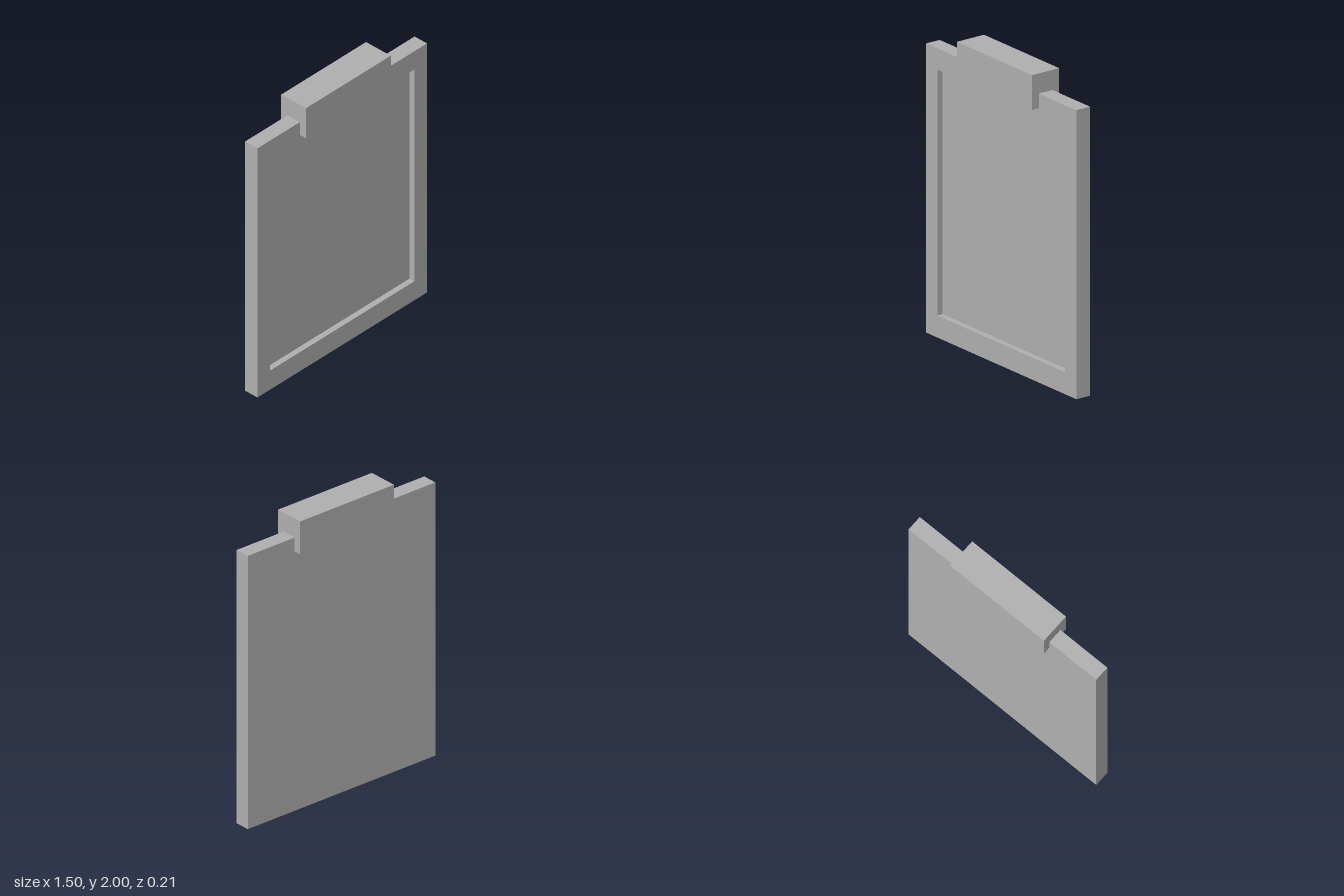
import * as THREE from 'three';

export function createModel() {
  const model = new THREE.Group();
  model.name = 'clipboard';
  const gray = new THREE.MeshStandardMaterial({ color: 0xb0b0b0 });
  gray.name = 'plain gray';

  const add = (name, geometry, x, y, z) => {
    const mesh = new THREE.Mesh(geometry, gray);
    mesh.name = name;
    mesh.position.set(x, y, z);
    model.add(mesh);
  };

  const width = 1.5, height = 1.87, thickness = 0.104, recess = 0.04;

  // Solid backing of the board
  const backing = thickness - recess;
  add('boardBacking', new THREE.BoxGeometry(width, height, backing), 0, height / 2, -recess / 2);

  // Raised border around the recessed writing area
  const border = new THREE.Shape([
    new THREE.Vector2(-width / 2, 0),
    new THREE.Vector2(width / 2, 0),
    new THREE.Vector2(width / 2, height),
    new THREE.Vector2(-width / 2, height),
  ]);
  border.holes.push(new THREE.Path([
    new THREE.Vector2(-0.638, 0.143),
    new THREE.Vector2(-0.638, 1.732),
    new THREE.Vector2(0.638, 1.732),
    new THREE.Vector2(0.638, 0.143),
  ]));
  add('boardBorder', new THREE.ExtrudeGeometry(border, { depth: recess, bevelEnabled: false }),
    0, 0, thickness / 2 - recess);

  // Block clip straddling the top edge
  const clipBottom = 1.775;
  add('clip', new THREE.BoxGeometry(0.75, 2 - clipBottom, 0.207), 0, (2 + clipBottom) / 2, 0);

  return model;
}
